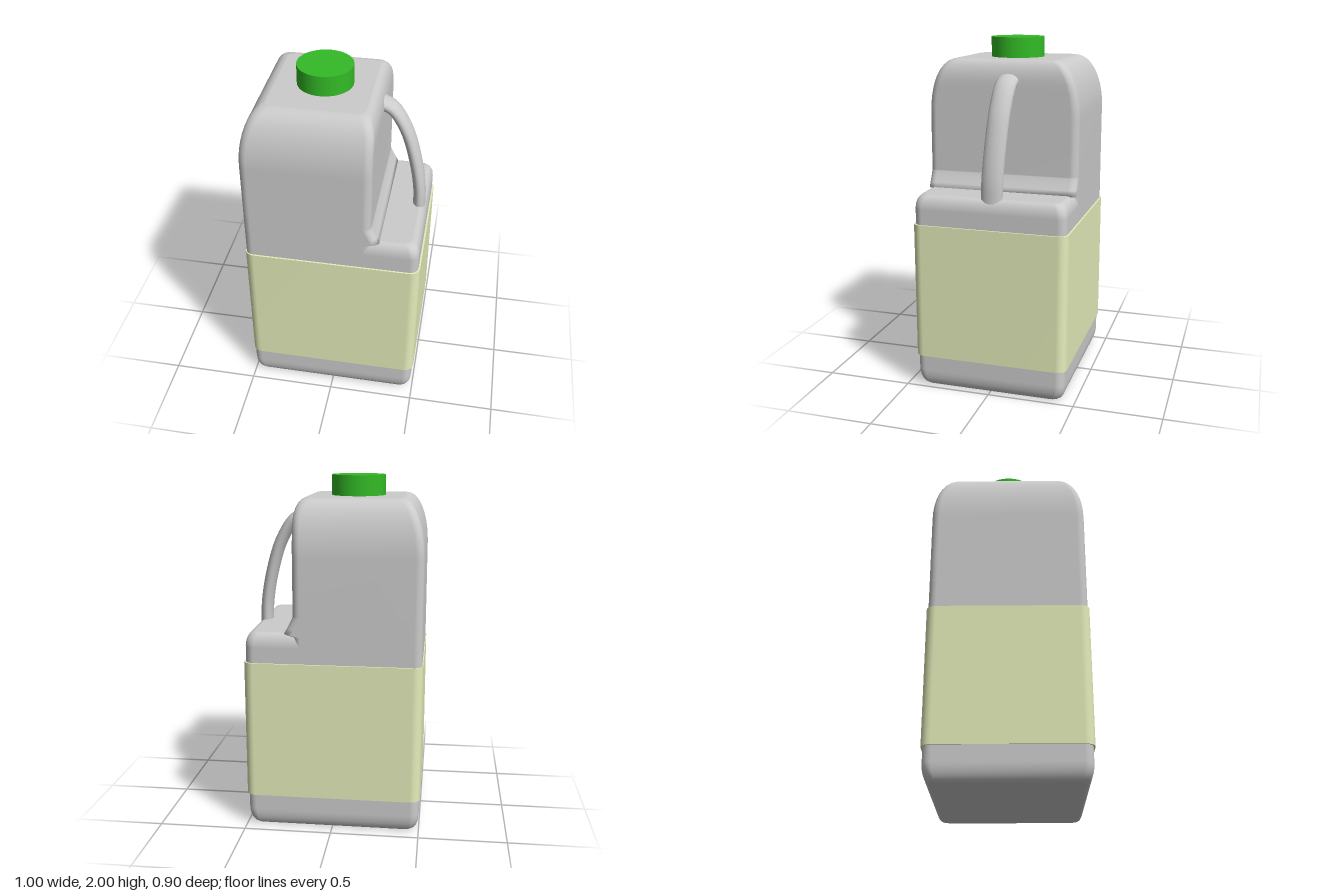
import * as THREE from 'three';

// One horizontal rounded-rectangle ring, listed as [y, xMin, xMax, halfDepth, cornerRadius]
const CORNER_STEPS = 6;
function ring([y, x0, x1, hz, r]) {
  const centres = [[x1 - r, hz - r], [x0 + r, hz - r], [x0 + r, r - hz], [x1 - r, r - hz]];
  const points = [];
  centres.forEach(([cx, cz], k) => {
    for (let i = 0; i <= CORNER_STEPS; i++) {
      const a = (k + i / CORNER_STEPS) * Math.PI / 2;
      points.push([cx + r * Math.cos(a), y, cz + r * Math.sin(a)]);
    }
  });
  return points;
}

// Closed skin over a stack of rings from bottom to top
function loft(sections) {
  const rings = sections.map(ring);
  const n = rings[0].length;
  const pos = rings.flat(2);
  const index = [];
  for (let i = 0; i < rings.length - 1; i++) {
    for (let j = 0; j < n; j++) {
      const a = i * n + j, b = i * n + (j + 1) % n;
      index.push(a, a + n, b, b, a + n, b + n);
    }
  }
  // Flat caps with their own vertices
  for (const [points, top] of [[rings[0], false], [rings[rings.length - 1], true]]) {
    const start = pos.length / 3;
    pos.push(...points.flat());
    for (let j = 1; j < n - 1; j++) {
      if (top) index.push(start, start + j + 1, start + j);
      else index.push(start, start + j, start + j + 1);
    }
  }
  const geometry = new THREE.BufferGeometry();
  geometry.setAttribute('position', new THREE.Float32BufferAttribute(pos, 3));
  geometry.setIndex(index);
  geometry.computeVertexNormals();
  return geometry;
}

export function createModel() {
  const model = new THREE.Group();
  model.name = 'milkJug';
  const plastic = new THREE.MeshStandardMaterial({ color: 0xcccccc });
  const labelPaint = new THREE.MeshStandardMaterial({ color: 0xe4edba });
  const capPaint = new THREE.MeshStandardMaterial({ color: 0x33bb26 });

  function add(name, geometry, material) {
    const mesh = new THREE.Mesh(geometry, material);
    mesh.name = name;
    model.add(mesh);
    return mesh;
  }

  // Lower body: rounded at the floor and at the ledge
  const base = [];
  const inset = 0.045, rise = 0.1, steps = 6;
  for (let i = 0; i <= steps; i++) {
    const a = i / steps * Math.PI / 2;
    const d = inset * (1 - Math.sin(a));
    base.push([rise * (1 - Math.cos(a)), -0.5 + d, 0.49 - d, 0.44 - d, 0.05]);
  }
  for (let i = steps; i >= 0; i--) {
    const a = i / steps * Math.PI / 2;
    const d = inset * (1 - Math.sin(a));
    base.push([1.15 - 0.08 * (1 - Math.cos(a)), -0.5 + d, 0.49 - d, 0.44 - d, 0.05]);
  }
  add('lowerBody', loft(base), plastic);

  // Upper body: fillet into the ledge, then a shoulder
  const tower = [[0.9, -0.5, 0.22, 0.44, 0.045], [1.13, -0.5, 0.22, 0.44, 0.045]];
  for (let i = 0; i <= 5; i++) {
    const a = i / 5 * Math.PI / 2;
    tower.push([1.145 + 0.1 * Math.sin(a), -0.5, 0.22 + 0.05 * (1 - Math.sin(a)) ** 1.2, 0.44, 0.045]);
  }
  tower.push([1.57, -0.5, 0.22, 0.44, 0.045]);
  for (let i = 1; i <= 10; i++) {
    const a = i / 10 * Math.PI / 2;
    const y = 1.57 + 0.315 * Math.sin(a);
    const lip = Math.max(0, (y - 1.76) / 0.125);
    tower.push([
      y,
      -0.5 + 0.125 * (1 - Math.cos(a)),
      0.22 - 0.06 * (1 - Math.sqrt(Math.max(0, 1 - lip * lip))),
      0.44 - 0.145 * (1 - Math.cos(a)),
      0.045,
    ]);
  }
  add('upperBody', loft(tower), plastic);

  // Label wrapped round the lower body
  add('label', loft([[0.19, -0.505, 0.5, 0.45, 0.055], [0.98, -0.505, 0.5, 0.45, 0.055]]), labelPaint);

  // Screw cap
  const cap = add('cap', new THREE.CylinderGeometry(0.155, 0.155, 0.12, 48), capPaint);
  cap.position.set(-0.105, 1.94, 0);

  // Handle: a curved tube widened front to back
  const widen = 1.75;
  const path = new THREE.CatmullRomCurve3([
    [0.195, 1.78, -0.036], [0.265, 1.745, -0.034], [0.345, 1.62, -0.028],
    [0.405, 1.43, -0.02], [0.437, 1.25, -0.013], [0.442, 1.12, -0.01],
  ].map(([x, y, z]) => new THREE.Vector3(x, y, z / widen)));
  const handle = new THREE.TubeGeometry(path, 32, 0.036, 16);
  handle.scale(1, 1, widen);
  add('handle', handle, plastic);

  return model;
}
